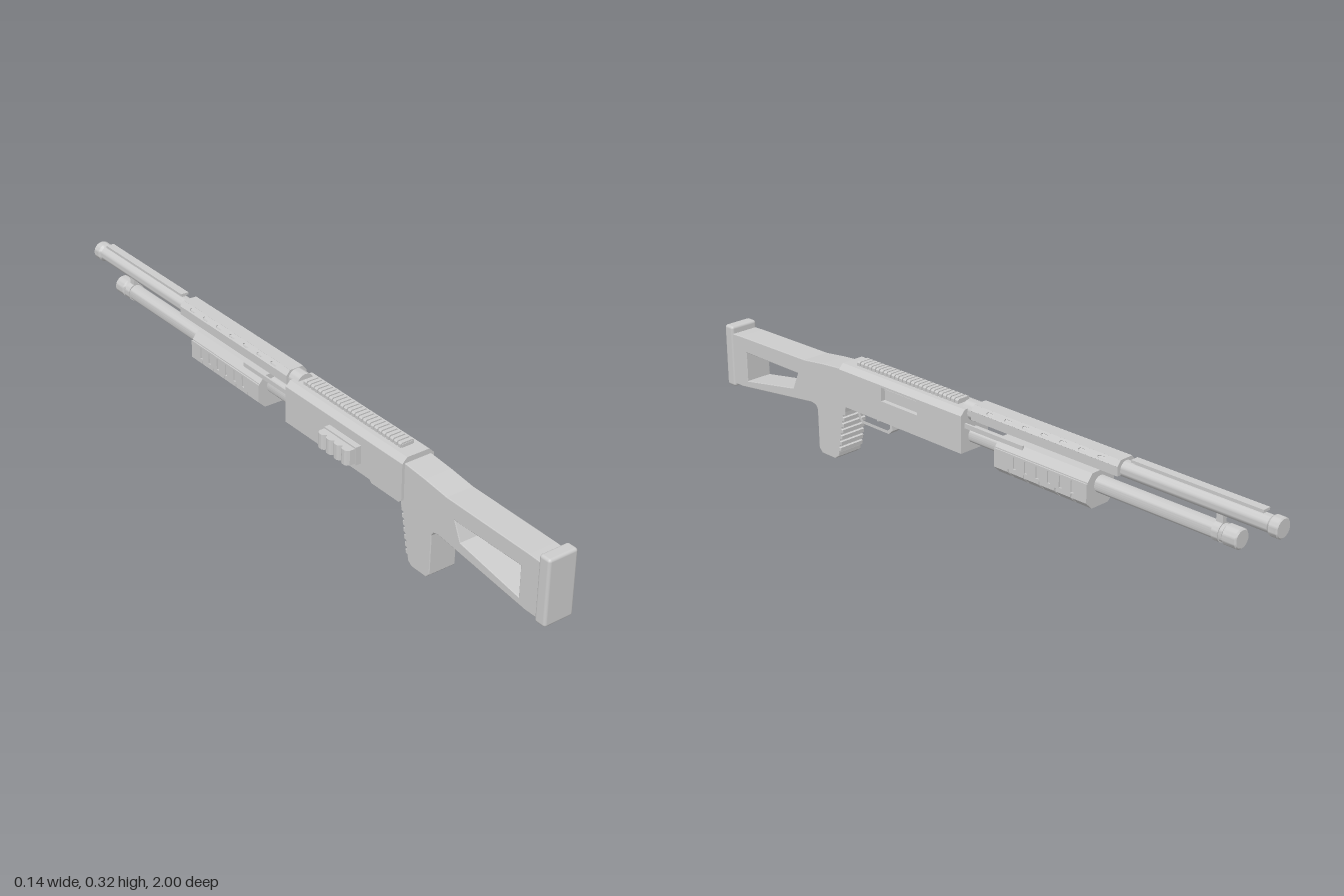
import * as THREE from 'three';
import { RoundedBoxGeometry } from 'three/addons/geometries/RoundedBoxGeometry.js';
import { toCreasedNormals } from 'three/addons/utils/BufferGeometryUtils.js';

const CX = 0.02; // centre plane of the body

export function createModel() {
  const root = new THREE.Group();
  const mat = new THREE.MeshStandardMaterial({ color: 0xcccccc });

  const add = (name, geo, x = 0, y = 0, z = 0) => {
    const mesh = new THREE.Mesh(geo, mat);
    mesh.name = name;
    mesh.position.set(x, y, z);
    root.add(mesh);
    return mesh;
  };
  const box = (name, w, h, d, x, y, z) => add(name, new THREE.BoxGeometry(w, h, d), x, y, z);
  const outline = (pts) => pts.map(([a, b]) => new THREE.Vector2(a, b));
  const rect = (a0, a1, b0, b1) => [[a0, b0], [a1, b0], [a1, b1], [a0, b1]];
  const extrude = (pts, holes, depth, bevel = 0) => {
    const shape = new THREE.Shape(outline(pts));
    holes.forEach((h) => shape.holes.push(new THREE.Path(outline(h))));
    const geo = new THREE.ExtrudeGeometry(shape, {
      depth: depth - 2 * bevel, bevelEnabled: bevel > 0, bevelThickness: bevel,
      bevelSize: bevel, bevelOffset: -bevel, bevelSegments: 2,
    });
    return geo.translate(0, 0, bevel - depth / 2);
  };
  // Side profile given as (z, y), thickness across x
  const profile = (name, pts, holes, width, x, bevel) =>
    add(name, extrude(pts, holes, width, bevel).rotateY(-Math.PI / 2), x);
  // Plan outline given as (x, z), thickness along y
  const plan = (name, pts, holes, height, y) =>
    add(name, extrude(pts, holes, height).rotateX(Math.PI / 2), 0, y);
  // Cross-section given as (x, y), running from z0 to z1
  const section = (name, pts, z0, z1) =>
    add(name, extrude(pts, [], z1 - z0), 0, 0, (z0 + z1) / 2);
  // Turned part along z: (radius, z) points from muzzle to rear
  const turned = (name, pts, y) => {
    const geo = new THREE.LatheGeometry(outline(pts), 28).rotateX(Math.PI / 2);
    add(name, toCreasedNormals(geo, 0.6), CX, y);
  };

  // Stock and grip in one piece, with a ribbed front strap
  const stock = [
    [0.97, 0.26], [0.93, 0.262], [0.64, 0.266], [0.56, 0.276], [0.48, 0.283], [0.468, 0.177],
  ];
  for (let i = 0; i < 7; i++) {
    const t = i / 7, y = 0.155 - 0.135 * t, z = 0.472 + 0.026 * t;
    stock.push([z, y], [z + 0.001, y - 0.011], [z + 0.009, y - 0.013], [z + 0.009, y - 0.017]);
  }
  stock.push([0.505, 0.011], [0.52, 0], [0.575, 0], [0.588, 0.013],
    [0.59, 0.13], [0.597, 0.141], [0.615, 0.145], [0.93, 0.105], [0.97, 0.105]);
  profile('stockAndGrip', stock,
    [[[0.906, 0.217], [0.672, 0.217], [0.695, 0.165], [0.906, 0.128]]], 0.084, CX, 0.002);
  add('buttPad', new RoundedBoxGeometry(0.09, 0.188, 0.036, 3, 0.008), CX, 0.188, 0.982);

  // Receiver: core with framed side and bottom openings
  section('receiverCore', [
    [-0.03, 0.187], [0.056, 0.187], [0.056, 0.283], [0.07, 0.283],
    [0.055, 0.298], [-0.015, 0.298], [-0.03, 0.283],
  ], 0, 0.482);
  profile('ejectionPortPlate', rect(0, 0.482, 0.187, 0.283),
    [rect(0.168, 0.31, 0.237, 0.277)], 0.014, 0.063);
  box('ejectionBolt', 0.008, 0.028, 0.126, 0.057, 0.257, 0.239);
  plan('loadingPortPlate', rect(-0.03, 0.07, 0, 0.482), [rect(-0.006, 0.046, 0.085, 0.29)], 0.01, 0.182);
  box('shellLifter', 0.044, 0.004, 0.19, CX, 0.186, 0.187);

  // Low top rail with fine teeth
  box('topRailBase', 0.034, 0.01, 0.4, CX, 0.302, 0.24);
  for (let i = 0; i < 26; i++) {
    const z = 0.04 + i * 0.0155;
    section('railTooth', [[-0.001, 0.298], [0.041, 0.298], [0.041, 0.307],
      [0.037, 0.311], [0.003, 0.311], [-0.001, 0.307]], z, z + 0.011);
  }

  // Trigger and guard
  profile('triggerGuard',
    [[0.445, 0.18], [0.438, 0.143], [0.425, 0.13], [0.315, 0.13], [0.3, 0.143], [0.302, 0.18]],
    [[[0.434, 0.175], [0.429, 0.147], [0.421, 0.139], [0.319, 0.139], [0.31, 0.147], [0.311, 0.175]]],
    0.03, CX + 0.005);
  profile('trigger', [[0.385, 0.18], [0.372, 0.16], [0.373, 0.145], [0.38, 0.145],
    [0.382, 0.16], [0.398, 0.18]], [], 0.01, CX);

  // Scalloped shell carrier on the right side
  box('carrierPlate', 0.018, 0.052, 0.13, -0.038, 0.2315, 0.255);
  const carrier = [[-0.04, 0.318], [-0.04, 0.19]];
  for (let i = 0; i < 4; i++) {
    const z = 0.19 + i * 0.032;
    carrier.push([-0.063, z + 0.001], [-0.07, z + 0.005], [-0.073, z + 0.011],
      [-0.073, z + 0.021], [-0.07, z + 0.027], [-0.063, z + 0.031]);
  }
  plan('shellCarrier', carrier, [], 0.043, 0.2315);

  // Barrel with collar and magazine tube with cap
  turned('barrel', [[0, -1], [0.024, -1], [0.027, -0.997], [0.027, -0.975], [0.022, -0.968],
    [0.022, -0.03], [0.027, -0.028], [0.027, 0.02], [0, 0.02]], 0.286);
  turned('magazineTube', [[0, -0.886], [0.023, -0.886], [0.027, -0.882], [0.027, -0.846],
    [0.023, -0.842], [0.023, 0.02], [0, 0.02]], 0.219);
  turned('magazineBand', [[0.022, -0.832], [0.026, -0.832], [0.026, -0.812], [0.022, -0.812]], 0.219);
  box('barrelClamp', 0.014, 0.05, 0.02, CX, 0.252, -0.822);
  box('sightRib', 0.024, 0.007, 0.4, CX, 0.3165, -0.75);
  box('sightRibFoot', 0.01, 0.012, 0.39, CX, 0.308, -0.75);

  // Heat shield: flat top, slotted sloping sides and plain skirts
  box('shieldTop', 0.04, 0.003, 0.505, CX, 0.3125, -0.2725);
  const slots = [];
  for (let i = 0; i < 7; i++) {
    const z = -0.085 - i * 0.064;
    slots.push([[z - 0.014, -0.001], [z - 0.01, -0.005], [z + 0.01, -0.005],
      [z + 0.014, -0.001], [z + 0.01, 0.003], [z - 0.01, 0.003]]);
  }
  for (const s of [-1, 1]) {
    const side = profile('shieldSlope', rect(-0.525, -0.02, -0.0095, 0.0095), slots, 0.003, CX + s * 0.0255);
    side.position.y = 0.306;
    side.rotation.z = s * 0.68;
    box('shieldSkirt', 0.003, 0.026, 0.505, CX + s * 0.0305, 0.287, -0.2725);
  }
  for (const z of [-0.022, -0.523]) {
    section('shieldEnd', [[-0.012, 0.274], [0.052, 0.274], [0.052, 0.298],
      [0.04, 0.313], [0, 0.313], [-0.012, 0.298]], z - 0.002, z + 0.002);
  }

  // Sliding fore-end with slotted cheeks and segmented underside
  section('foreEnd', [[-0.008, 0.166], [0.048, 0.166], [0.067, 0.186], [0.067, 0.235],
    [0.05, 0.256], [-0.01, 0.256], [-0.027, 0.235], [-0.027, 0.186]], -0.443, -0.122);
  for (let i = 0; i < 6; i++) {
    const z = -0.443 + i * 0.0542;
    section('gripSegment', [[-0.01, 0.16], [0.05, 0.16], [0.071, 0.18], [0.071, 0.19],
      [-0.031, 0.19], [-0.031, 0.18]], z, z + 0.05);
  }
  const grooves = [];
  for (let i = 0; i < 6; i++) {
    const z = -0.4 + i * 0.04;
    grooves.push(rect(z, z + 0.01, 0.194, 0.227));
  }
  for (const s of [-1, 1]) {
    profile('foreEndCheek', rect(-0.443, -0.122, 0.189, 0.232), grooves, 0.006, CX + s * 0.048);
    box('actionBar', 0.006, 0.013, 0.22, CX + s * 0.034, 0.253, -0.1);
  }
  return root;
}
